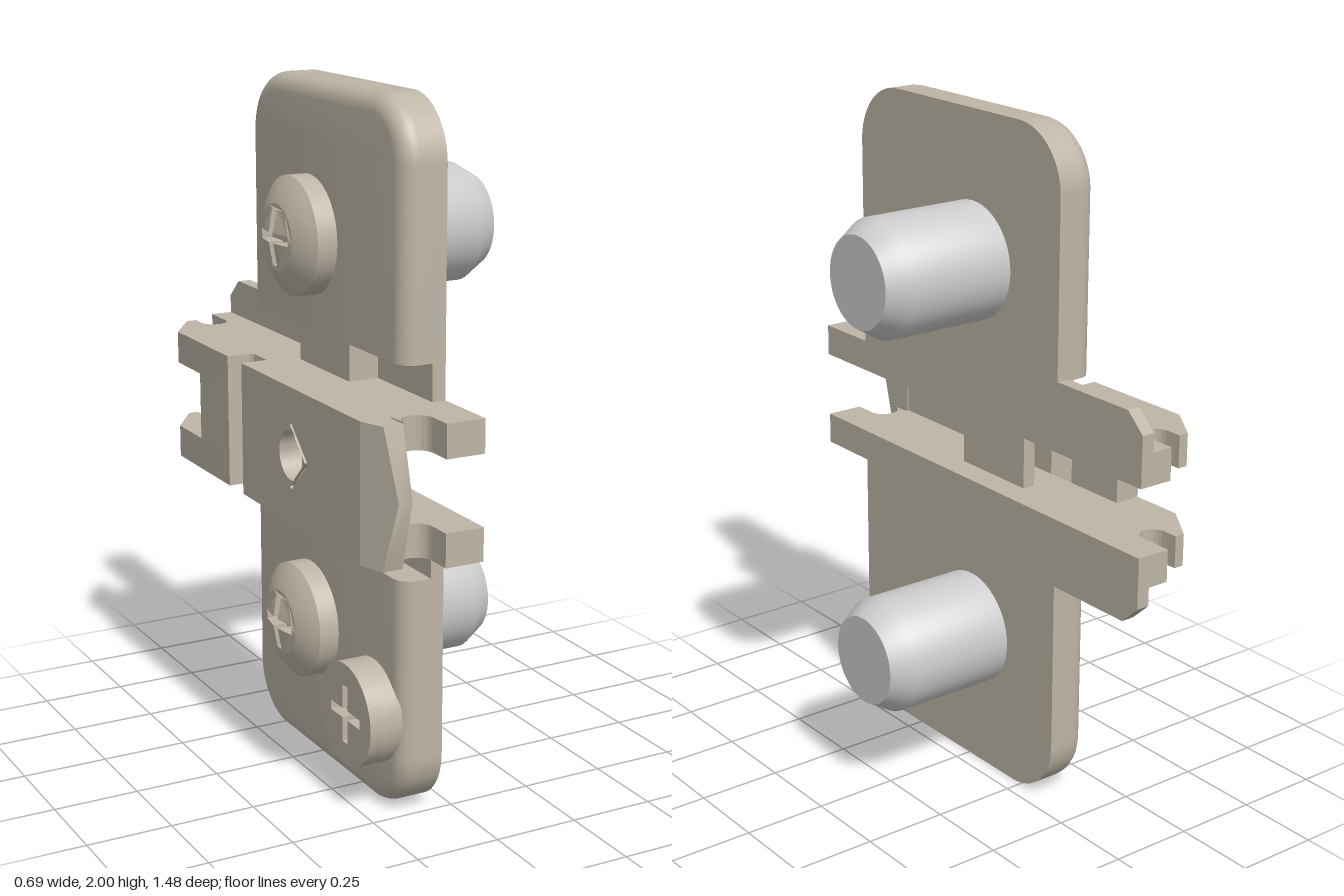
import * as THREE from 'three';
import { toCreasedNormals } from 'three/addons/utils/BufferGeometryUtils.js';

const tan = new THREE.MeshStandardMaterial({ color: 0xbdb5a6 });
const grey = new THREE.MeshStandardMaterial({ color: 0xcccccc });

const polygon = (pts) => new THREE.Shape(pts.map(([u, v]) => new THREE.Vector2(u, v)));
const circle = (r) => new THREE.Shape().absarc(0, 0, r, 0, Math.PI * 2);

// Extrudes a (z, y) outline from x0 towards -x
function extrudeSide(shape, x0, depth, options = {}) {
  const g = new THREE.ExtrudeGeometry(shape, { depth, bevelEnabled: false, curveSegments: 24, ...options });
  return g.rotateY(-Math.PI / 2).translate(x0, 0, 0);
}

// Extrudes an (x, z) outline downwards from yTop
function extrudeDown(shape, yTop, height) {
  const g = new THREE.ExtrudeGeometry(shape, { depth: height, bevelEnabled: false, curveSegments: 16 });
  return g.rotateX(Math.PI / 2).translate(0, yTop, 0);
}

function boxBetween(x0, x1, y0, y1, z0, z1) {
  const g = new THREE.BoxGeometry(x1 - x0, Math.abs(y1 - y0), z1 - z0);
  return g.translate((x0 + x1) / 2, (y0 + y1) / 2, (z0 + z1) / 2);
}

function moveVertices(g, rule) {
  const p = g.attributes.position;
  const v = new THREE.Vector3();
  for (let i = 0; i < p.count; i++) {
    rule(v.fromBufferAttribute(p, i));
    p.setXYZ(i, v.x, v.y, v.z);
  }
  return g;
}

function crossPath(a, w) {
  return polygon([[w, w], [w, a], [-w, a], [-w, w], [-a, w], [-a, -w],
    [-w, -w], [-w, -a], [w, -a], [w, -w], [a, -w], [a, w]]);
}

export function createModel() {
  const model = new THREE.Group();
  const add = (name, geometry, material = tan, parent = model) => {
    const mesh = new THREE.Mesh(toCreasedNormals(geometry, 0.6), material);
    mesh.name = name;
    parent.add(mesh);
    return mesh;
  };

  // Everything that repeats above (s = 1) and below (s = -1) the middle, y = 1
  for (const s of [1, -1]) {
    const y = (v) => 1 + s * v;
    const side = s > 0 ? 'upper' : 'lower';

    // Mounting wing: round corners, and a soft rim on the outer face
    const corner = 0.18, z0 = -0.39, z1 = 0.53;
    const wing = new THREE.Shape();
    wing.moveTo(z0, y(0.3));
    wing.lineTo(z0, y(1 - corner));
    wing.absarc(z0 + corner, y(1 - corner), corner, Math.PI, s * Math.PI / 2, s > 0);
    wing.absarc(z1 - corner, y(1 - corner), corner, s * Math.PI / 2, 0, s > 0);
    wing.lineTo(z1, y(0.3));
    add(side + 'Wing', extrudeSide(wing, -0.05, 0.08));
    const rim = extrudeSide(wing, -0.13, 0.001, {
      bevelEnabled: true, bevelThickness: 0.049, bevelSize: 0.05, bevelOffset: -0.05, bevelSegments: 5,
    });
    moveVertices(rim, (v) => { if (Math.abs(v.y - 1) < 0.4) v.y = y(0.3); });
    add(side + 'WingRim', rim);

    // Thin strip beside the rail, running on as the rear flange
    add(side + 'Flange', extrudeSide(polygon([[z1, y(0.19)], [z1, y(0.305)], [-0.68, y(0.305)],
      [-0.74, y(0.25)], [-0.74, y(0.19)]]), -0.05, 0.04));
    add(side + 'PocketDivider', boxBetween(-0.18, -0.08, y(0.19), y(0.301), -0.07, 0.23));

    // Rail wall with a latch notch at each end and a cross slot
    const wall = new THREE.Shape();
    wall.moveTo(-0.05, -0.74);
    wall.lineTo(-0.155, -0.74);
    wall.lineTo(-0.155, -0.64);
    wall.absarc(-0.195, -0.64, 0.04, 0, Math.PI, false);
    wall.lineTo(-0.235, -0.685);
    wall.lineTo(-0.265, -0.685);
    wall.lineTo(-0.35, -0.56);
    wall.lineTo(-0.35, -0.2);
    wall.lineTo(-0.29, -0.2);
    wall.quadraticCurveTo(-0.27, -0.2, -0.27, -0.18);
    wall.lineTo(-0.27, -0.107);
    wall.lineTo(-0.35, -0.107);
    wall.lineTo(-0.35, 0.61);
    wall.lineTo(-0.26, 0.61);
    wall.lineTo(-0.255, 0.665);
    wall.absarc(-0.21, 0.665, 0.045, Math.PI, Math.PI * 2, false);
    wall.lineTo(-0.165, 0.735);
    wall.lineTo(-0.05, 0.735);
    add(side + 'RailWall', extrudeDown(wall, s > 0 ? 1.195 : 0.9, 0.095));

    // Dowel on the inner face
    const dowel = new THREE.LatheGeometry([[0, -0.06], [0.172, -0.06], [0.172, 0.28], [0.133, 0.345], [0, 0.345]]
      .map(([r, h]) => new THREE.Vector2(r, h)), 48);
    add(side + 'Dowel', dowel.rotateZ(-Math.PI / 2).translate(0, y(0.568), -0.008), grey);

    // Domed screw head with a cross recess
    const screw = new THREE.Group();
    screw.name = side + 'Screw';
    screw.position.set(0, y(0.568), -0.008);
    model.add(screw);
    const R = 0.27, capR = 0.095;
    const dome = (r) => 0.3 - R + Math.sqrt(R * R - r * r);
    const profile = [new THREE.Vector2(0.17, 0.17)];
    for (let i = 0; i <= 6; i++) {
      const r = 0.17 - (0.17 - capR) * i / 6;
      profile.push(new THREE.Vector2(r, dome(r)));
    }
    add('screwHead', new THREE.LatheGeometry(profile, 48).rotateZ(Math.PI / 2), tan, screw);
    const cap = circle(capR);
    cap.holes.push(crossPath(0.08, 0.014));
    const capGeo = moveVertices(extrudeSide(cap, -0.25, 0.03, { curveSegments: 48 }),
      (v) => { if (v.x < -0.27) v.x = -dome(Math.min(capR, Math.hypot(v.y, v.z))); });
    add('screwCap', capGeo, tan, screw);
    add('recessFloor', extrudeSide(circle(capR - 0.002), -0.2, 0.055), tan, screw);
  }

  // Rail web: front panel with a round hole and an engraved arrow, then the rear panel
  const panel = () => {
    const p = polygon([[-0.107, 0.9], [0.61, 0.9], [0.61, 1.1], [-0.107, 1.1]]);
    p.holes.push(new THREE.Path().absarc(0.205, 1, 0.07, 0, Math.PI * 2));
    return p;
  };
  add('railWeb', extrudeSide(panel(), -0.27, 0.068));
  const skin = panel();
  skin.holes.push(polygon([[0.2, 0.912], [0.21, 0.905], [0.31, 1], [0.21, 1.095], [0.2, 1.088], [0.292, 1]]));
  add('railWebFace', extrudeSide(skin, -0.338, 0.012));
  add('rearWeb', boxBetween(-0.35, -0.27, 0.9, 1.1, -0.4, -0.2));
  add('innerBridge', boxBetween(-0.17, -0.13, 0.9, 1.1, -0.15, 0.135));

  // Pointed nose, bevelled on its outer face
  const nose = extrudeSide(polygon([[0.61, 0.805], [0.685, 0.805], [0.735, 1], [0.685, 1.195], [0.61, 1.195]]), -0.265, 0.085);
  add('railNose', moveVertices(nose, (v) => { if (v.x < -0.3) v.x += (v.z - 0.61) * 0.36; }));

  // Flat adjusting cam with a cross recess
  const cam = new THREE.Group();
  cam.name = 'adjustingCam';
  cam.position.set(0, 0.28, 0.37);
  model.add(cam);
  const face = circle(0.15);
  face.holes.push(crossPath(0.085, 0.014));
  add('camFace', extrudeSide(face, -0.23, 0.04), tan, cam);
  add('camBase', extrudeSide(circle(0.15), -0.17, 0.06), tan, cam);

  return model;
}
